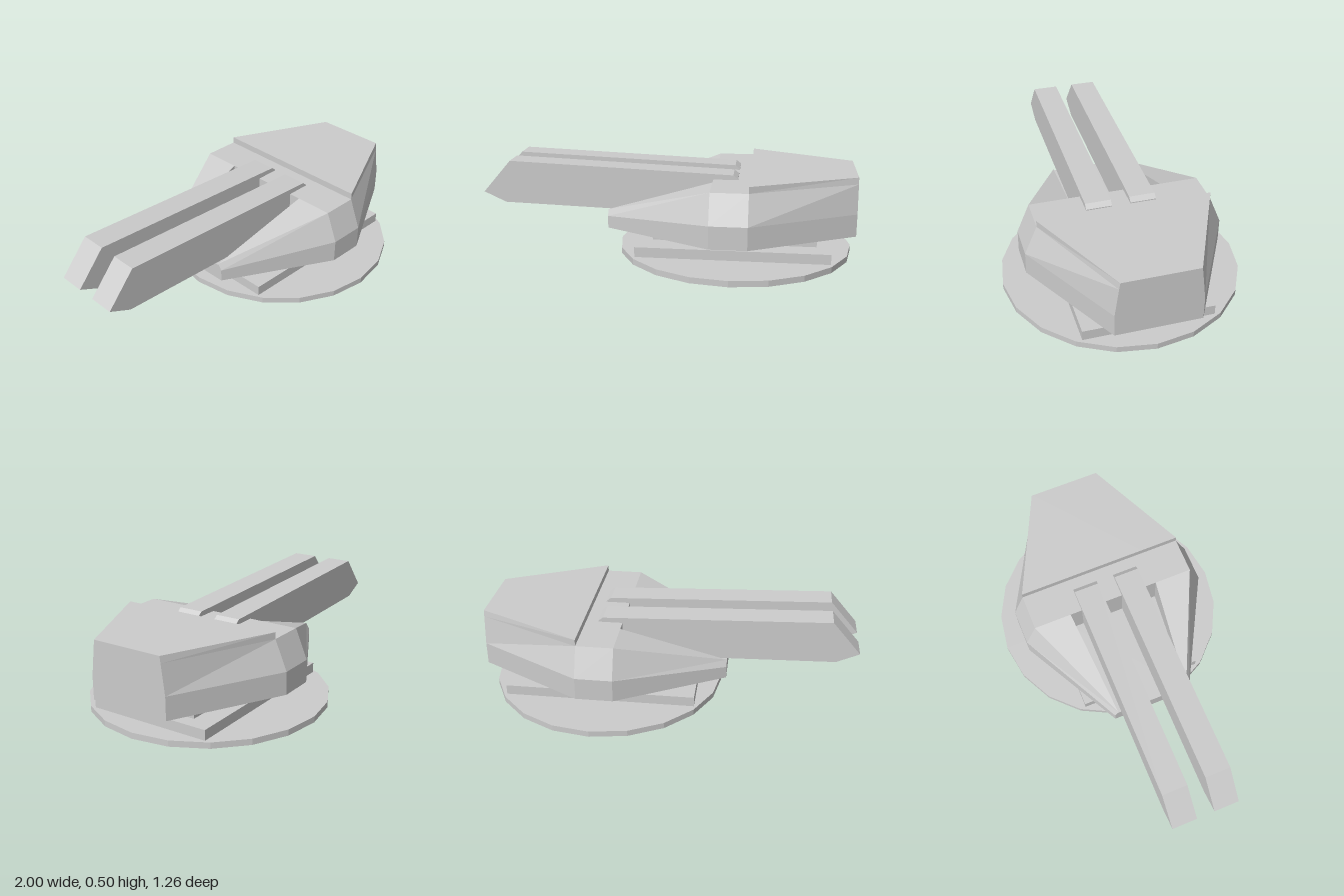
import * as THREE from 'three';

const material = new THREE.MeshStandardMaterial({ color: 0xcccccc, flatShading: true });

function add(group, name, geometry, x = 0, y = 0, z = 0) {
  const mesh = new THREE.Mesh(geometry, material);
  mesh.name = name;
  mesh.position.set(x, y, z);
  group.add(mesh);
  return mesh;
}

// Block given by its limits in x and y, symmetric in z
function block(group, name, x0, x1, y0, y1, halfZ) {
  add(group, name, new THREE.BoxGeometry(x1 - x0, y1 - y0, halfZ * 2), (x0 + x1) / 2, (y0 + y1) / 2, 0);
}

// Skins mirrored cross-sections along x; each half section lists [z, y] from the bottom up
function loft(stations) {
  const rings = stations.map(([x, half]) => [
    ...half.map(([z, y]) => new THREE.Vector3(x, y, z)),
    ...half.slice().reverse().map(([z, y]) => new THREE.Vector3(x, y, -z)),
  ]);
  const positions = [];
  const tri = (a, b, c) => {
    const area = b.clone().sub(a).cross(c.clone().sub(a)).length();
    if (area > 1e-7) for (const p of [a, b, c]) positions.push(p.x, p.y, p.z);
  };
  const n = rings[0].length;
  for (let s = 0; s < rings.length - 1; s++) {
    const r = rings[s], q = rings[s + 1];
    for (let i = 0; i < n; i++) {
      const j = (i + 1) % n;
      tri(r[i], q[i], q[j]);
      tri(r[i], q[j], r[j]);
    }
  }
  const first = rings[0], last = rings[rings.length - 1];
  for (let i = 1; i < n - 1; i++) {
    tri(first[0], first[i], first[i + 1]);
    tri(last[0], last[i + 1], last[i]);
  }
  const geometry = new THREE.BufferGeometry();
  geometry.setAttribute('position', new THREE.Float32BufferAttribute(positions, 3));
  geometry.computeVertexNormals();
  return geometry;
}

export function createModel() {
  const model = new THREE.Group();
  model.name = 'gunTurret';

  // Base: thin disc, plinth and pedestal
  add(model, 'baseDisc', new THREE.CylinderGeometry(0.632, 0.632, 0.032, 20), 0.36, 0.025, 0);
  block(model, 'plinth', -0.15, 0.87, 0, 0.095, 0.34);
  block(model, 'pedestal', 0.04, 0.8, 0.09, 0.17, 0.225);
  block(model, 'pedestalFront', -0.07, 0.05, 0.09, 0.17, 0.2);

  // Armoured housing: sloped nose with a gun recess, then a raised rear deck
  const wall = [[0.52, 0.16], [0.52, 0.28], [0.455, 0.435]];
  const low = [...wall, [0.455, 0.435], [0.25, 0.435], [0.25, 0.435]];
  const high = [...wall, [0.455, 0.47], [0.25, 0.47], [0.25, 0.47]];
  const recess = [...wall, [0.455, 0.435], [0.25, 0.435], [0.25, 0.25]];
  const nose = [[0.22, 0.16], [0.22, 0.225], [0.2, 0.258], [0.2, 0.258], [0.2, 0.258], [0.2, 0.25]];
  const tail = [[0.22, 0.16], [0.22, 0.28], [0.2, 0.435], [0.195, 0.47], [0.19, 0.47], [0.19, 0.47]];
  add(model, 'housing', loft([
    [-0.31, nose], [0.25, recess], [0.25, low], [0.445, low], [0.445, high], [1, tail],
  ]));

  // Twin slab barrels with slanted muzzles
  const profile = new THREE.Shape([
    [-1, 0.33], [-0.88, 0.275], [-0.3, 0.258], [0.3, 0.24],
    [0.38, 0.43], [0.38, 0.44], [0.355, 0.46], [-0.85, 0.505],
  ].map(([x, y]) => new THREE.Vector2(x, y)));
  const barrel = new THREE.ExtrudeGeometry(profile, { depth: 0.136, bevelEnabled: false });
  barrel.translate(0, 0, -0.068);
  add(model, 'leftBarrel', barrel, 0, 0, 0.118);
  add(model, 'rightBarrel', barrel, 0, 0, -0.116);

  return model;
}
